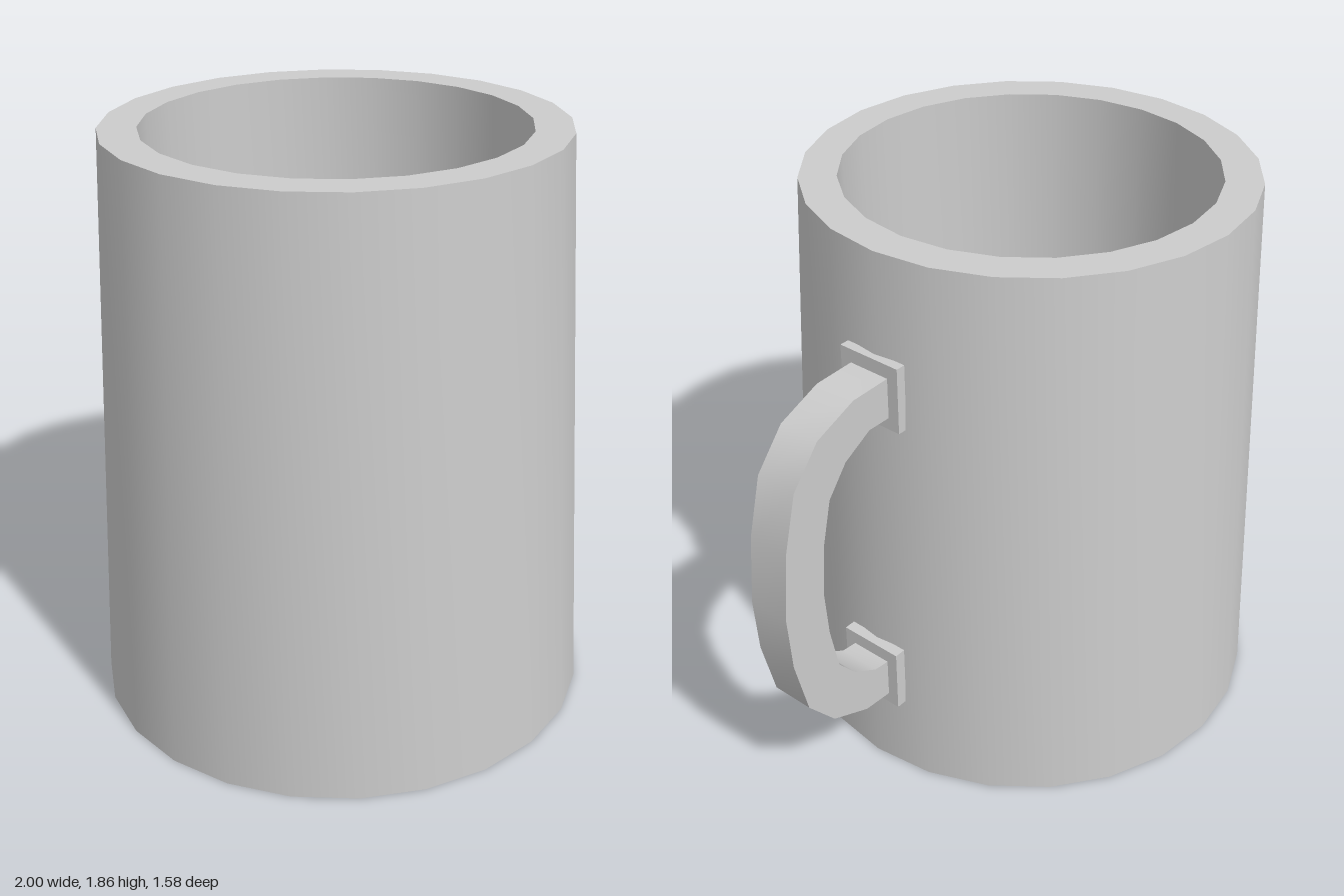
import * as THREE from 'three';
import { toCreasedNormals } from 'three/addons/utils/BufferGeometryUtils.js';

const v2 = ([x, y]) => new THREE.Vector2(x, y);

export function createModel() {
  const model = new THREE.Group();
  model.name = 'mug';
  const grey = new THREE.MeshStandardMaterial({ color: 0xcccccc });
  grey.name = 'grey';

  function add(name, geometry, x = 0, y = 0, z = 0) {
    const mesh = new THREE.Mesh(geometry, grey);
    mesh.name = name;
    mesh.position.set(x, y, z);
    model.add(mesh);
  }

  // Tapered hollow body: base, outer wall, rim, inner wall, floor
  const profile = [[0, 0], [0.79, 0], [0.708, 1.855], [0.59, 1.855], [0.578, 0.12], [0, 0.12]].map(v2);
  add('body', toCreasedNormals(new THREE.LatheGeometry(profile, 24), 0.6), -0.21);

  // Handle: flat-sided band in the xy plane
  const outer = [
    [0.52, 1.485], [0.676, 1.48], [0.825, 1.42], [0.927, 1.298], [0.977, 1.106], [0.998, 0.88],
    [0.985, 0.694], [0.938, 0.497], [0.836, 0.374], [0.692, 0.31], [0.57, 0.302],
  ];
  const inner = [
    [0.57, 0.438], [0.644, 0.446], [0.735, 0.5], [0.8, 0.577], [0.83, 0.726], [0.842, 0.88],
    [0.827, 1.058], [0.793, 1.2], [0.72, 1.293], [0.617, 1.35], [0.52, 1.35],
  ];
  const band = new THREE.ExtrudeGeometry(new THREE.Shape([...outer, ...inner].map(v2)), {
    depth: 0.142, bevelEnabled: false,
  });
  add('handle', toCreasedNormals(band, 0.65), 0, 0, -0.071);

  // Mounting plates, set partly into the wall
  for (const [name, back, front, bottom, top] of [
    ['upperPlate', 0.503, 0.535, 1.31, 1.53],
    ['lowerPlate', 0.55, 0.588, 0.265, 0.485],
  ]) {
    add(name, new THREE.BoxGeometry(front - back, top - bottom, 0.22), (back + front) / 2, (bottom + top) / 2);
  }
  return model;
}
